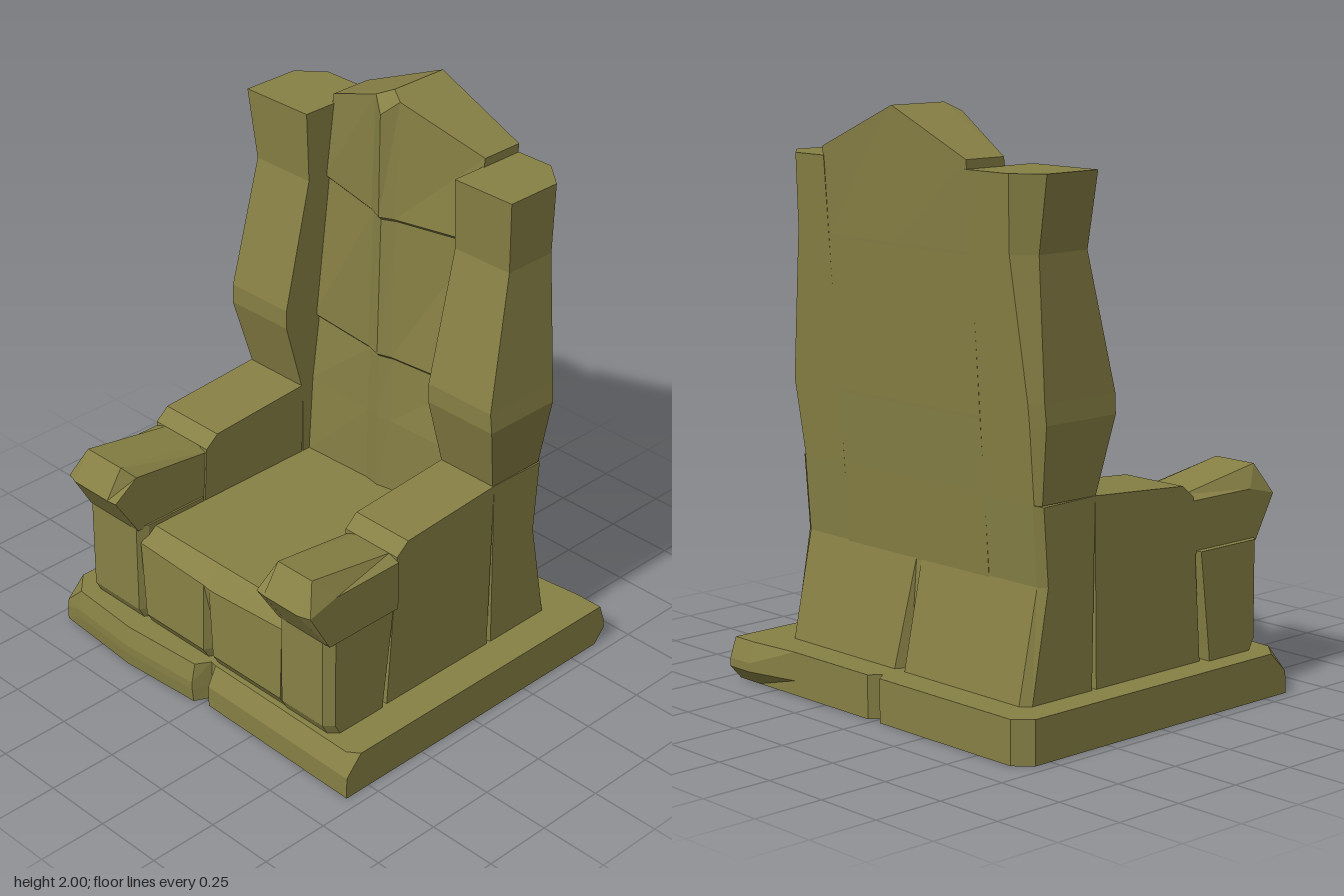
import * as THREE from 'three';

const stone = new THREE.MeshStandardMaterial({ color: 0x878045, flatShading: true });
stone.name = 'mossy stone';

// Skin a stack of equal-length point rings and close both ends with fans.
function loft(name, rings, apex) {
  const pos = [];
  const tri = (a, b, c) => pos.push(...a, ...b, ...c);
  const centre = (r) => [0, 1, 2].map((k) => r.reduce((s, p) => s + p[k], 0) / r.length);
  const n = rings[0].length;
  const first = rings[0], last = rings[rings.length - 1];
  const c0 = centre(first), c1 = apex || centre(last);
  for (let i = 0; i < n; i++) {
    const j = (i + 1) % n;
    for (let k = 0; k + 1 < rings.length; k++) {
      const a = rings[k], b = rings[k + 1];
      tri(a[i], a[j], b[j]);
      tri(a[i], b[j], b[i]);
    }
    tri(c0, first[j], first[i]);
    tri(c1, last[i], last[j]);
  }
  // Turn the faces outwards when the signed volume is negative
  let volume = 0;
  const v = [0, 1, 2].map(() => new THREE.Vector3());
  for (let i = 0; i < pos.length; i += 9) {
    v.forEach((p, k) => p.fromArray(pos, i + 3 * k));
    volume += v[0].dot(v[1].clone().cross(v[2]));
  }
  if (volume < 0) {
    for (let i = 0; i < pos.length; i += 9) {
      for (let k = 0; k < 3; k++) {
        [pos[i + 3 + k], pos[i + 6 + k]] = [pos[i + 6 + k], pos[i + 3 + k]];
      }
    }
  }
  const g = new THREE.BufferGeometry();
  g.setAttribute('position', new THREE.Float32BufferAttribute(pos, 3));
  g.computeVertexNormals();
  const mesh = new THREE.Mesh(g, stone);
  mesh.name = name;
  return mesh;
}

// Side profile of [z, y] points placed at x; plan outline of [x, z] points placed at y.
const side = (x, pts) => pts.map(([z, y]) => [x, y, z]);
const plan = (y, pts) => pts.map(([x, z]) => [x, y, z]);

function createBase() {
  const outline = (left, frontL, frontR, inset, backR) => [
    [-0.705, left], [-0.63, frontL], [-0.35, frontL + 0.02], [-0.03, frontL], [0, 0.55], [0.025, frontR],
    [0.705 - inset, frontR + 0.01], [0.705, frontR - 0.06 + inset], [0.705, backR], [0.6, backR], [0.41, -0.62],
    [0.03, -0.62], [0, -0.58], [-0.03, -0.62], [-0.65, -0.62], [-0.705, -0.565],
  ];
  return loft('base', [
    plan(0, outline(0.605, 0.61, 0.59, 0, -0.62)),
    plan(0.05, outline(0.605, 0.615, 0.59, 0, -0.665)),
    plan(0.08, outline(0.6, 0.615, 0.59, 0, -0.665)),
    plan(0.15, outline(0.53, 0.6, 0.555, 0.04, -0.64)),
  ]);
}

function createSeat() {
  const profile = (cut, dip) => [
    [-0.3, 0.14], [-0.3, 0.515], [0.49, 0.515], [0.55, 0.465 - dip],
    [0.56 - cut, 0.19], [0.53 - cut, 0.14],
  ];
  return loft('seat', [
    side(-0.35, profile(0.06, 0)), side(-0.32, profile(0, 0)), side(-0.03, profile(0, 0.015)),
    side(-0.005, profile(0.05, 0.02)), side(0.02, profile(0, 0.02)), side(0.35, profile(0, 0)),
  ]);
}

function createBackPanel() {
  // Front bends outwards along the centre; the sides lean back with height
  const ring = (y, zSide, zBack, out) => plan(y, [
    [-0.35, zSide + out], [-0.06, -0.245 + (zSide + 0.235) * 0.17 + out], [0, -0.235 + out],
    [0.05, -0.245 + (zSide + 0.235) * 0.15 + out], [0.345, zSide + out],
    [0.345, zBack], [0, zBack], [-0.35, zBack],
  ]);
  const top = [
    [-0.35, 1.85, -0.365], [-0.06, 1.972, -0.275], [0, 1.93, -0.235], [0.05, 1.978, -0.275],
    [0.345, 1.85, -0.365], [0.345, 1.85, -0.525], [0, 2, -0.525], [-0.35, 1.85, -0.525],
  ];
  return loft('backPanel', [
    ring(0.5, -0.235, -0.43, 0), ring(0.79, -0.255, -0.45, 0),
    ring(1.03, -0.28, -0.468, -0.008), ring(1.042, -0.28, -0.469, 0.004),
    ring(1.55, -0.33, -0.505, -0.008), ring(1.562, -0.33, -0.506, 0.004), top,
  ], [0, 2, -0.3]);
}

function createLowerBack() {
  const profile = (cut) => [
    [-0.28, 0.14], [-0.28, 0.6], [-0.435, 0.6], [-0.43, 0.52], [-0.51 + cut, 0.14],
  ];
  return loft('lowerBack', [
    side(-0.36, profile(0)), side(-0.025, profile(0)), side(0, profile(0.05)),
    side(0.025, profile(0)), side(0.36, profile(0)),
  ]);
}

// Wing rows are [y, outer x, front z, back z, chamfer]
const wingRows = {
  left: [[0.785, 0.575, -0.2, -0.45, 0.03], [1.04, 0.625, -0.13, -0.468, 0.05], [1.11, 0.617, -0.13, -0.473, 0.05],
    [1.57, 0.577, -0.24, -0.507, 0.08], [1.82, 0.585, -0.23, -0.525, 0.1]],
  right: [[0.785, 0.597, -0.2, -0.45, 0.02], [1.04, 0.615, -0.13, -0.468, 0.04], [1.11, 0.612, -0.13, -0.473, 0.04],
    [1.57, 0.595, -0.24, -0.507, 0.07], [1.82, 0.63, -0.23, -0.525, 0.09]],
};

function createSide(label, s) {
  const group = new THREE.Group();
  group.name = label + 'Side';
  const inner = s * 0.34;
  const outer = s * (s > 0 ? 0.577 : 0.6);

  // Tall wing beside the back
  group.add(loft(label + 'Wing', wingRows[label].map(([y, x, zf, zb, c]) => plan(y, [
    [inner, zf], [s * x, zf], [s * x, zb + c * 0.85], [s * (x - c), zb], [inner, zb],
  ]))));

  // Block under the wing
  const foot = [[-0.205, 0.14], [-0.205, 0.785], [-0.45, 0.785], [-0.43, 0.52], [-0.51, 0.14]];
  const footEdge = [[-0.215, 0.14], [-0.205, 0.785], [-0.43, 0.78], [-0.41, 0.52], [-0.48, 0.14]];
  group.add(loft(label + 'RearBlock', [
    side(inner, foot), side(outer - s * 0.03, foot), side(outer, footEdge),
  ]));

  // Armrest wall with a sloping top
  const wall = [[0.29, 0.14], [0.262, 0.53], [0.25, 0.715], [0.2, 0.757], [-0.205, 0.785], [-0.195, 0.14]];
  group.add(loft(label + 'ArmWall', [side(inner, wall), side(outer, wall)]));

  // Front post, slightly narrower at its outer front corner
  const x = s > 0 ? 0.582 : 0.622;
  const post = (y, zb, zf) => plan(y, [
    [inner, zb], [s * x, zb], [s * x, zf - 0.03], [s * (x - 0.03), zf], [s * 0.36, zf], [inner, zf - 0.04],
  ]);
  group.add(loft(label + 'FrontPost', [
    post(0.14, 0.315, 0.535), post(0.19, 0.31, 0.562), post(0.53, 0.268, 0.56),
  ]));

  // Jutting hand rest with cut corners
  const full = [[0.25, 0.52], [0.25, 0.715], [0.595, 0.772], [0.66, 0.67], [0.56, 0.52]];
  const cutInner = [[0.25, 0.52], [0.25, 0.7], [0.56, 0.735], [0.655, 0.67], [0.56, 0.52]];
  const cutOuter = [[0.25, 0.52], [0.25, 0.7], [0.53, 0.7], [0.645, 0.67], [0.56, 0.52]];
  const tip = s > 0 ? 0.585 : 0.6;
  group.add(loft(label + 'HandRest', [
    side(s * 0.347, cutInner), side(s * 0.385, full), side(s * (tip - 0.045), full), side(s * tip, cutOuter),
  ]));
  return group;
}

export function createModel() {
  const model = new THREE.Group();
  model.name = 'stoneThrone';
  model.add(createBase(), createSeat(), createBackPanel(), createLowerBack());
  model.add(createSide('left', 1), createSide('right', -1));
  return model;
}
